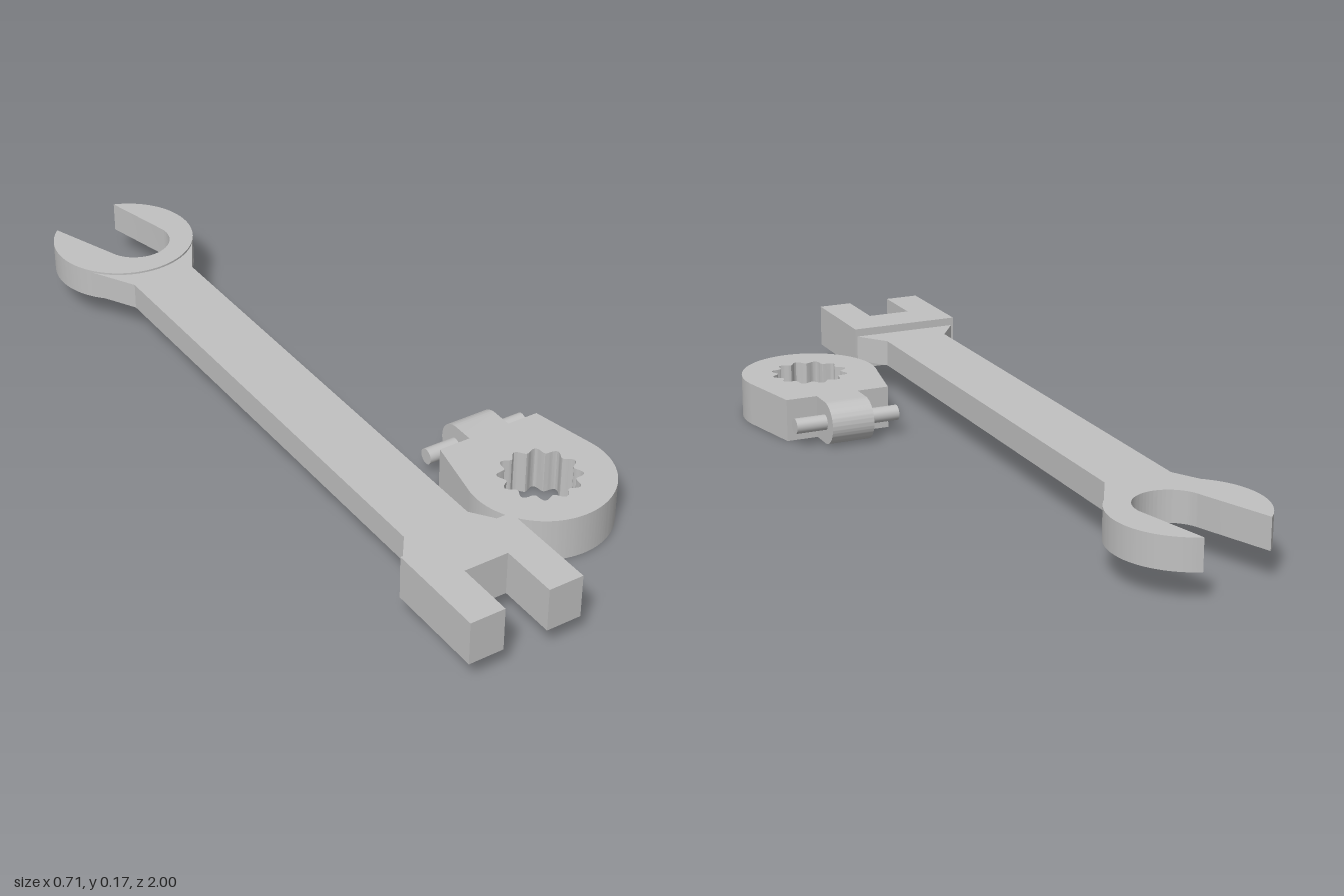
import * as THREE from 'three';
import { toCreasedNormals } from 'three/addons/utils/BufferGeometryUtils.js';

const steel = new THREE.MeshStandardMaterial({ color: 0xc0c0c0 });
steel.name = 'steel';

// Plan outlines are drawn as (x, -z) and extruded upward from y0 to y1.
function plate(name, shape, y0, y1) {
  let geo = new THREE.ExtrudeGeometry(shape, { depth: y1 - y0, bevelEnabled: false, curveSegments: 64 });
  geo.rotateX(-Math.PI / 2);
  geo.translate(0, y0, 0);
  geo = toCreasedNormals(geo, 0.55);
  const mesh = new THREE.Mesh(geo, steel);
  mesh.name = name;
  return mesh;
}

const polygon = (pts) => new THREE.Shape(pts.map(([x, z]) => new THREE.Vector2(x, -z)));
const deg = THREE.MathUtils.degToRad;

function createWrench() {
  const g = new THREE.Group();
  g.name = 'wrench';
  const bottom = 0.08, top = 0.149;

  // Open jaw: a disc with a tilted round-bottomed slot
  const jaw = new THREE.Shape();
  jaw.absarc(-0.168, 0.825, 0.186, deg(135.5), deg(430.5), false);
  jaw.absarc(-0.146, 0.793, 0.089, deg(7), deg(-163.4), true);
  jaw.closePath();
  g.add(plate('openJaw', jaw, 0.075, 0.154));

  // Neck flaring from the handle to the jaw
  g.add(plate('jawNeck', polygon([
    [-0.254, -0.6], [-0.083, -0.6], [0.001, -0.75], [-0.06, -0.7], [-0.28, -0.7], [-0.338, -0.75],
  ]), bottom, top));

  // Handle with the flare that meets the fork
  g.add(plate('handle', polygon([
    [-0.315, 0.745], [-0.02, 0.745], [-0.083, 0.66], [-0.083, -0.6], [-0.254, -0.6], [-0.254, 0.66],
  ]), bottom, top));

  // Square fork end
  g.add(plate('fork', polygon([
    [-0.315, 1], [-0.225, 1], [-0.225, 0.85], [-0.11, 0.85],
    [-0.11, 1], [-0.02, 1], [-0.02, 0.737], [-0.315, 0.737],
  ]), 0.058, 0.17));
  return g;
}

function createRingHead() {
  const g = new THREE.Group();
  g.name = 'ringHead';
  const cx = 0.172, cz = 0.592, height = 0.111;

  // Housing: round front, tapering to a flat back
  const body = new THREE.Shape();
  body.absarc(cx, -cz, 0.18, deg(168), deg(372), false);
  body.lineTo(0.313, -0.387);
  body.lineTo(0.031, -0.387);
  body.closePath();
  const bore = new THREE.Path();
  bore.absarc(cx, -cz, 0.143, 0, Math.PI * 2, true);
  body.holes.push(bore);
  g.add(plate('housing', body, 0, height));

  // Ratchet insert with a twelve-lobed socket
  const insert = new THREE.Shape();
  insert.absarc(cx, -cz, 0.143, 0, Math.PI * 2, false);
  const lobes = [];
  for (let i = 0; i < 144; i++) {
    const a = -i / 144 * Math.PI * 2;
    const r = 0.093 + 0.009 * Math.cos(12 * a);
    lobes.push(new THREE.Vector2(cx + r * Math.cos(a), -cz + r * Math.sin(a)));
  }
  insert.holes.push(new THREE.Path(lobes));
  g.add(plate('socketInsert', insert, 0, height));

  // Rounded hinge knuckle, drawn in side profile and extruded along x
  const side = new THREE.Shape();
  side.moveTo(-0.39, 0);
  side.lineTo(-0.331, 0);
  side.absarc(-0.331, height / 2, height / 2, -Math.PI / 2, Math.PI / 2, false);
  side.lineTo(-0.39, height);
  side.closePath();
  let knuckleGeo = new THREE.ExtrudeGeometry(side, { depth: 0.114, bevelEnabled: false, curveSegments: 32 });
  knuckleGeo.rotateY(Math.PI / 2);
  knuckleGeo.translate(0.116, 0, 0);
  knuckleGeo = toCreasedNormals(knuckleGeo, 0.55);
  const knuckle = new THREE.Mesh(knuckleGeo, steel);
  knuckle.name = 'hingeKnuckle';
  g.add(knuckle);

  // Hinge pin through the knuckle
  const pin = new THREE.Mesh(new THREE.CylinderGeometry(0.02, 0.02, 0.282, 32), steel);
  pin.name = 'hingePin';
  pin.rotation.z = Math.PI / 2;
  pin.position.set(cx, 0.057, 0.331);
  g.add(pin);
  return g;
}

export function createModel() {
  const model = new THREE.Group();
  model.name = 'flexHeadWrench';
  model.add(createWrench(), createRingHead());
  return model;
}
